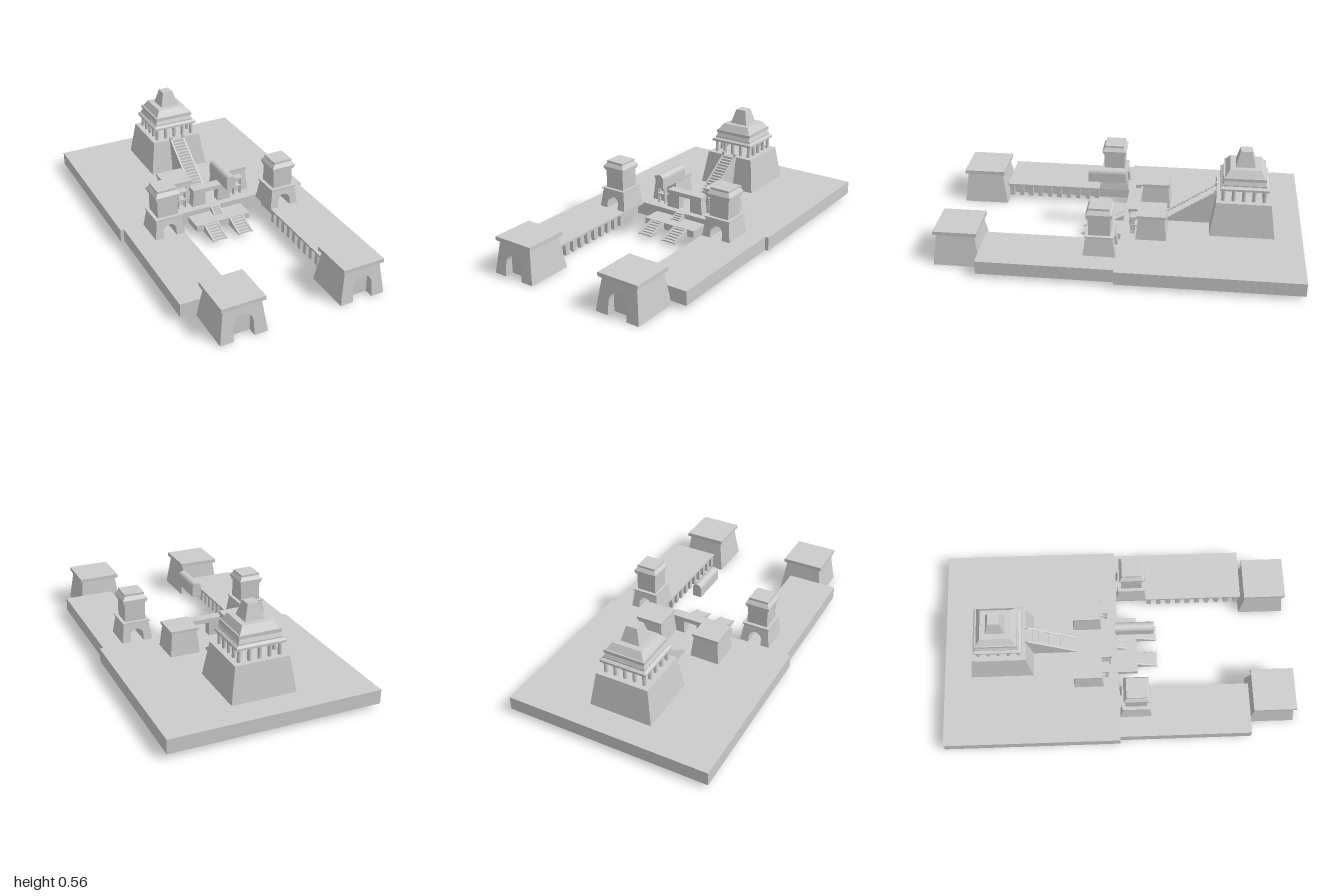
import * as THREE from 'three';

const stone = new THREE.MeshStandardMaterial({ color: 0xcccccc, flatShading: true });

function add(parent, name, geometry, x = 0, y = 0, z = 0) {
  const mesh = new THREE.Mesh(geometry, stone);
  mesh.name = name;
  mesh.position.set(x, y, z);
  parent.add(mesh);
  return mesh;
}

function group(parent, name, x = 0, y = 0, z = 0) {
  const g = new THREE.Group();
  g.name = name;
  g.position.set(x, y, z);
  parent.add(g);
  return g;
}

// Box given by its limits
function block(parent, name, x0, x1, y0, y1, z0, z1) {
  return add(parent, name, new THREE.BoxGeometry(x1 - x0, y1 - y0, z1 - z0),
    (x0 + x1) / 2, (y0 + y1) / 2, (z0 + z1) / 2);
}

// Square tapered block standing on its local y = 0
function frustum(w0, w1, h) {
  const g = new THREE.BoxGeometry(1, h, 1).translate(0, h / 2, 0);
  const p = g.attributes.position;
  for (let i = 0; i < p.count; i++) {
    const w = p.getY(i) > h / 2 ? w1 : w0;
    p.setX(i, p.getX(i) * w).setZ(i, p.getZ(i) * w);
  }
  g.computeVertexNormals();
  return g;
}

// Stack of square layers: [y0, y1, width at y0, width at y1]
function stack(parent, name, layers) {
  layers.forEach(([y0, y1, w0, w1]) => add(parent, name, frustum(w0, w1, y1 - y0), 0, y0, 0));
}

// Tapered block with an arch cut from the front down to local z = recess
function archedBase(parent, name, w0, w1, h, r, spring, recess) {
  const outline = (arch) => {
    const s = new THREE.Shape().moveTo(w0 / 2, 0);
    s.lineTo(w1 / 2, h).lineTo(-w1 / 2, h).lineTo(-w0 / 2, 0);
    if (arch) s.lineTo(-r, 0).lineTo(-r, spring).absarc(0, spring, r, Math.PI, 0, true).lineTo(r, 0);
    return s;
  };
  const half = (y) => (w0 + (w1 - w0) * y / h) / 2;
  const slab = (arch, back, front) => {
    const g = new THREE.ExtrudeGeometry(outline(arch), { depth: 1, bevelEnabled: false, curveSegments: 16 });
    const p = g.attributes.position;
    for (let i = 0; i < p.count; i++) p.setZ(i, (p.getZ(i) > 0.5 ? front : back)(p.getY(i)));
    g.computeVertexNormals();
    add(parent, name, g);
  };
  if (recess === null) return slab(true, (y) => -half(y), half);
  slab(false, (y) => -half(y), () => recess);
  slab(true, () => recess, half);
}

// Side profile of [z, y] points, extruded across x and centred on cx
function sideProfile(parent, name, points, cx, width) {
  const s = new THREE.Shape(points.map(([z, y]) => new THREE.Vector2(z, y)));
  const g = new THREE.ExtrudeGeometry(s, { depth: width, bevelEnabled: false });
  add(parent, name, g.rotateY(-Math.PI / 2), cx + width / 2, 0, 0);
}

// Flight from the foot (zf, yf) back up to (zt, yt), with sloping side walls
function stairs(parent, name, cx, width, zf, yf, zt, yt, n, rail, lift) {
  const g = group(parent, name);
  const pts = [[zt, yf], [zf, yf]];
  for (let i = 0; i < n; i++) {
    const y = yf + (yt - yf) * (i + 1) / n;
    pts.push([zf + (zt - zf) * i / n, y], [zf + (zt - zf) * (i + 1) / n, y]);
  }
  sideProfile(g, 'steps', pts, cx, width);
  for (const s of [-1, 1]) {
    sideProfile(g, 'stairWall', [[zt, yf], [zf + 0.005, yf], [zf + 0.005, yf + lift], [zt, yt + lift]],
      cx + s * (width + rail) / 2, rail);
  }
  return g;
}

export function createModel() {
  const model = new THREE.Group();
  model.name = 'templeComplex';
  block(model, 'mainTerrace', -0.58, 0.58, 0.022, 0.1, -1, 0);

  for (const s of [-1, 1]) {
    // Wings with a colonnade along the inner side
    const wing = group(model, 'wing', s * 0.415);
    const inner = -s * 0.145;
    block(wing, 'wingTop', -0.145, 0.145, 0.088, 0.1, 0, 0.745);
    const bodyEdge = -s * 0.105, outer = s * 0.145;
    block(wing, 'wingBody', Math.min(bodyEdge, outer), Math.max(bodyEdge, outer), 0.022, 0.088, 0, 0.745);
    for (let i = 0; i < 10; i++) {
      add(wing, 'wingPillar', new THREE.BoxGeometry(0.022, 0.066, 0.026), inner + s * 0.013, 0.055, 0.2 + i * 0.058);
    }

    // Front gate towers with a recessed arch
    const gate = group(model, 'gateTower', s * 0.34, 0, 0.87);
    archedBase(gate, 'gateBody', 0.26, 0.208, 0.186, 0.056, 0.077, 0.08);
    stack(gate, 'gateCap', [[0.185, 0.207, 0.24, 0.24]]);

    // Tiered towers over an open archway
    const tower = group(model, 'tieredTower', s * 0.357, 0.1, 0.093);
    archedBase(tower, 'archway', 0.175, 0.144, 0.108, 0.038, 0.034, null);
    stack(tower, 'towerTier', [
      [0.107, 0.115, 0.157, 0.157], [0.115, 0.224, 0.118, 0.118], [0.222, 0.235, 0.132, 0.132],
      [0.235, 0.245, 0.142, 0.142], [0.245, 0.268, 0.142, 0.108], [0.266, 0.278, 0.112, 0.112],
    ]);

    // Pylons flanking the inner gate
    const pylon = group(model, 'pylon', s * 0.175, 0.1, -0.17);
    stack(pylon, 'pylonBlock', [[0, 0.132, 0.17, 0.143], [0.13, 0.146, 0.157, 0.157]]);

    // Two-storey porch before each pylon
    const porch = group(model, 'porch', s * 0.178, 0.1, -0.068);
    for (const [y, h] of [[0, 0.052], [0.06, 0.042]]) {
      const r = 0.017, w = 0.025;
      const face = new THREE.Shape().moveTo(w, 0);
      face.lineTo(w, h).lineTo(-w, h).lineTo(-w, 0).lineTo(-r, 0).lineTo(-r, h - r - 0.004)
        .absarc(0, h - r - 0.004, r, Math.PI, 0, true).lineTo(r, 0);
      add(porch, 'porchArch', new THREE.ExtrudeGeometry(face, { depth: 0.012, bevelEnabled: false }), 0, y, -0.008);
      for (const k of [-1, 1]) {
        add(porch, 'porchColumn', new THREE.CylinderGeometry(0.005, 0.005, h, 8), k * 0.022, y + h / 2, 0.01);
      }
      block(porch, 'porchSlab', -0.031, 0.031, y + h, y + h + 0.008, -0.03, 0.018);
    }

    // Piers of the inner gate, leaning in at the outer side
    const pier = new THREE.Shape().moveTo(s * 0.04, 0.1);
    pier.lineTo(s * 0.122, 0.1).lineTo(s * 0.111, 0.185).lineTo(s * 0.04, 0.185);
    add(model, 'innerGatePier', new THREE.ExtrudeGeometry(pier, { depth: 0.05, bevelEnabled: false }), 0, 0, -0.088);

    // Twin flights down from the front landing
    stairs(model, 'frontStairs', s * 0.08, 0.07, 0.23, 0.024, 0.11, 0.066, 6, 0.01, 0.007);
  }
  block(model, 'innerGateLintel', -0.117, 0.117, 0.183, 0.207, -0.092, -0.034);

  // Front landing with a short flight to the terrace
  block(model, 'frontLanding', -0.168, 0.168, 0.034, 0.07, 0, 0.115);
  block(model, 'landingFooting', -0.155, 0.155, 0.024, 0.034, 0, 0.105);
  stairs(model, 'upperSteps', 0, 0.042, 0.05, 0.07, 0, 0.1, 4, 0.008, 0.004);

  // Raised barrel vault on the centre line
  const vault = new THREE.Shape().moveTo(-0.026, 0.318);
  vault.lineTo(0.026, 0.318).lineTo(0.026, 0.369).absarc(0, 0.369, 0.026, 0, Math.PI, false);
  add(model, 'barrelVault', new THREE.ExtrudeGeometry(vault, { depth: 0.21, bevelEnabled: false, curveSegments: 16 }), 0, 0, -0.008);

  // Great stairway to the temple
  const stairway = stairs(model, 'greatStairway', 0, 0.07, -0.24, 0.1, -0.515, 0.294, 16, 0.011, 0.008);
  for (const s of [-1, 1]) block(stairway, 'stairPost', s * 0.041 - 0.007, s * 0.041 + 0.007, 0.28, 0.316, -0.52, -0.506);

  // Temple: sloping base, ring of columns, stepped roof
  const temple = group(model, 'temple', 0, 0, -0.667);
  stack(temple, 'templeBase', [[0.1, 0.295, 0.36, 0.3]]);
  for (let i = 0; i < 5; i++) {
    for (let j = 0; j < 5; j++) {
      if (i % 4 && j % 4) continue;
      add(temple, 'templeColumn', new THREE.CylinderGeometry(0.011, 0.011, 0.07, 10),
        (i - 2) * 0.056, 0.33, (j - 2) * 0.056);
    }
  }
  stack(temple, 'templeRoof', [
    [0.364, 0.376, 0.268, 0.268], [0.376, 0.386, 0.268, 0.24], [0.384, 0.394, 0.24, 0.24],
    [0.394, 0.416, 0.236, 0.218], [0.416, 0.434, 0.232, 0.232], [0.434, 0.471, 0.218, 0.168],
    [0.47, 0.556, 0.108, 0.062],
  ]);
  return model;
}
